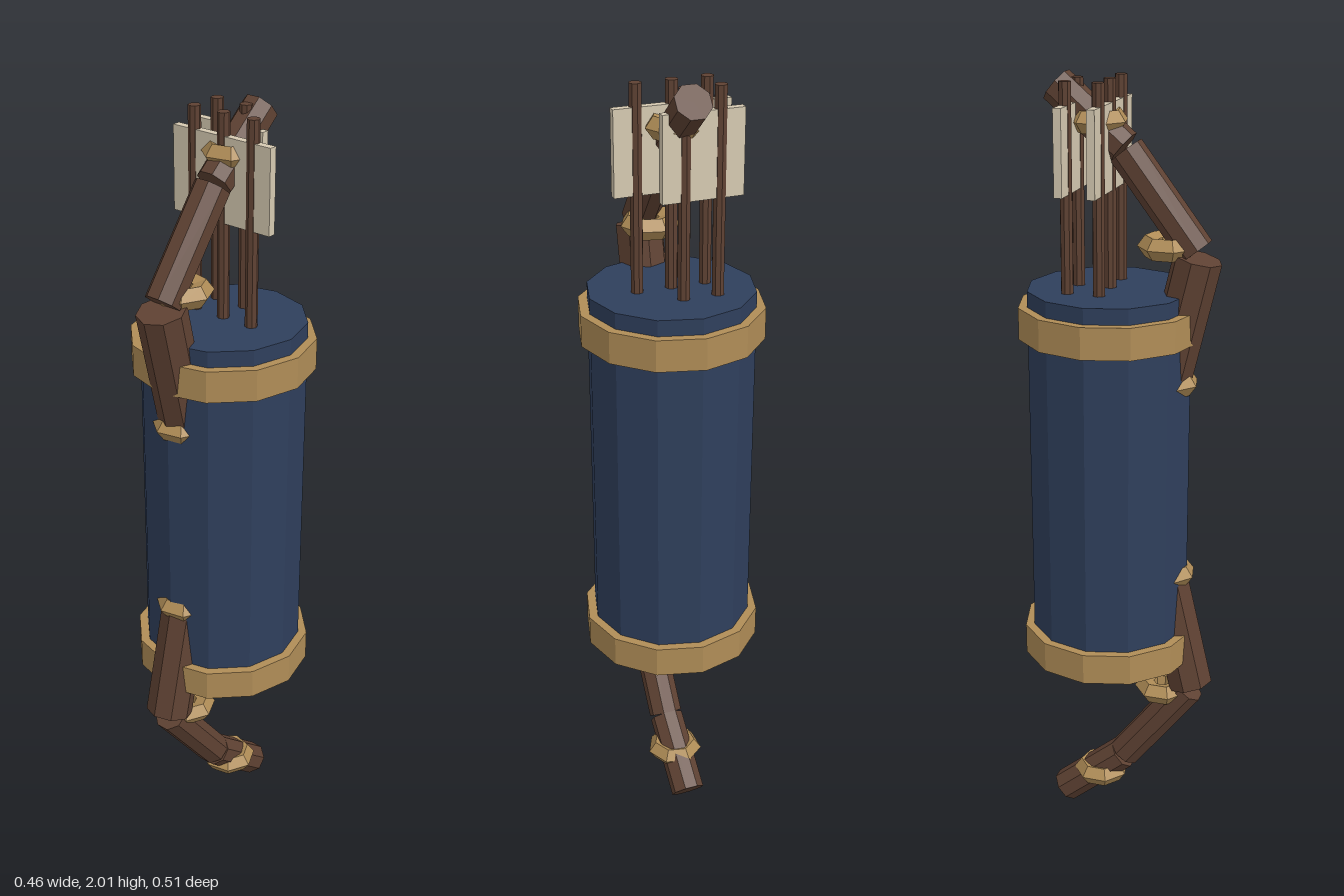
import * as THREE from 'three';

export function createModel() {
  const mat = (name, color) => {
    const m = new THREE.MeshStandardMaterial({ color, flatShading: true });
    m.name = name;
    return m;
  };
  const blue = mat('navy leather', 0x2f3f5c);
  const gold = mat('brass', 0xb08d57);
  const wood = mat('dark wood', 0x5f4233);
  const feather = mat('feather cream', 0xd6cab2);

  const model = new THREE.Group();
  model.name = 'quiverAndBow';
  const add = (parent, name, geometry, material, x, y, z) => {
    const mesh = new THREE.Mesh(geometry, material);
    mesh.name = name;
    mesh.position.set(x, y, z);
    parent.add(mesh);
    return mesh;
  };

  // Quiver: twelve-sided tube with a brass band at each end
  const axisZ = -0.026;
  add(model, 'quiverBody', new THREE.CylinderGeometry(0.207, 0.207, 0.965, 12), blue, 0, 1.0075, axisZ);
  const band = new THREE.CylinderGeometry(0.23, 0.23, 0.08, 12);
  add(model, 'topBand', band, gold, 0, 1.41, axisZ);
  add(model, 'bottomBand', band, gold, 0, 0.545, axisZ);

  // Arrows: shaft with one flat fletching plate each
  const shaft = new THREE.CylinderGeometry(0.0155, 0.0155, 0.6, 8);
  const plate = new THREE.BoxGeometry(0.114, 0.206, 0.02);
  const spots = [[-0.087, -0.026], [0, -0.026], [0.087, -0.026], [-0.087, -0.107], [0, -0.107]];
  for (const [x, z] of spots) {
    const arrow = new THREE.Group();
    arrow.name = 'arrow';
    add(arrow, 'arrowShaft', shaft, wood, x, 1.69, z);
    add(arrow, 'fletching', plate, feather, x, 1.833, z);
    model.add(arrow);
  }

  // Bow limbs: three straight wooden segments, mirrored about y = 1
  const segments = [
    { name: 'innerLimb', from: [1.245, 0.117], to: [1.578, 0.195], r: 0.061, turn: 0 },
    { name: 'middleLimb', from: [1.594, 0.191], to: [1.825, 0.014], r: 0.045, turn: Math.PI / 8 },
    { name: 'limbTip', from: [1.831, 0.008], to: [1.971, -0.159], r: 0.045, turn: Math.PI / 8 },
  ];
  const wraps = [[1.26, 0.128], [1.602, 0.12], [1.892, -0.055]];
  const wrapGeometry = new THREE.TorusGeometry(0.047, 0.028, 5, 7);
  wrapGeometry.rotateX(Math.PI / 2);

  for (const side of [1, -1]) {
    const limb = new THREE.Group();
    limb.name = side > 0 ? 'upperLimb' : 'lowerLimb';
    const flip = (y) => 1 + side * (y - 1);
    for (const { name, from, to, r, turn } of segments) {
      const a = new THREE.Vector3(0, flip(from[0]), from[1]);
      const b = new THREE.Vector3(0, flip(to[0]), to[1]);
      const dir = b.clone().sub(a);
      const geometry = new THREE.CylinderGeometry(r, r, dir.length(), 8);
      geometry.rotateY(turn);
      // Tilt within the yz plane only
      geometry.rotateX(Math.atan2(dir.z, dir.y));
      const mid = a.add(b).multiplyScalar(0.5);
      add(limb, name, geometry, wood, 0, mid.y, mid.z);
    }
    // Brass wraps around the limb joints
    for (const [y, z] of wraps) add(limb, 'limbWrap', wrapGeometry, gold, 0, flip(y), z);
    model.add(limb);
  }
  return model;
}
